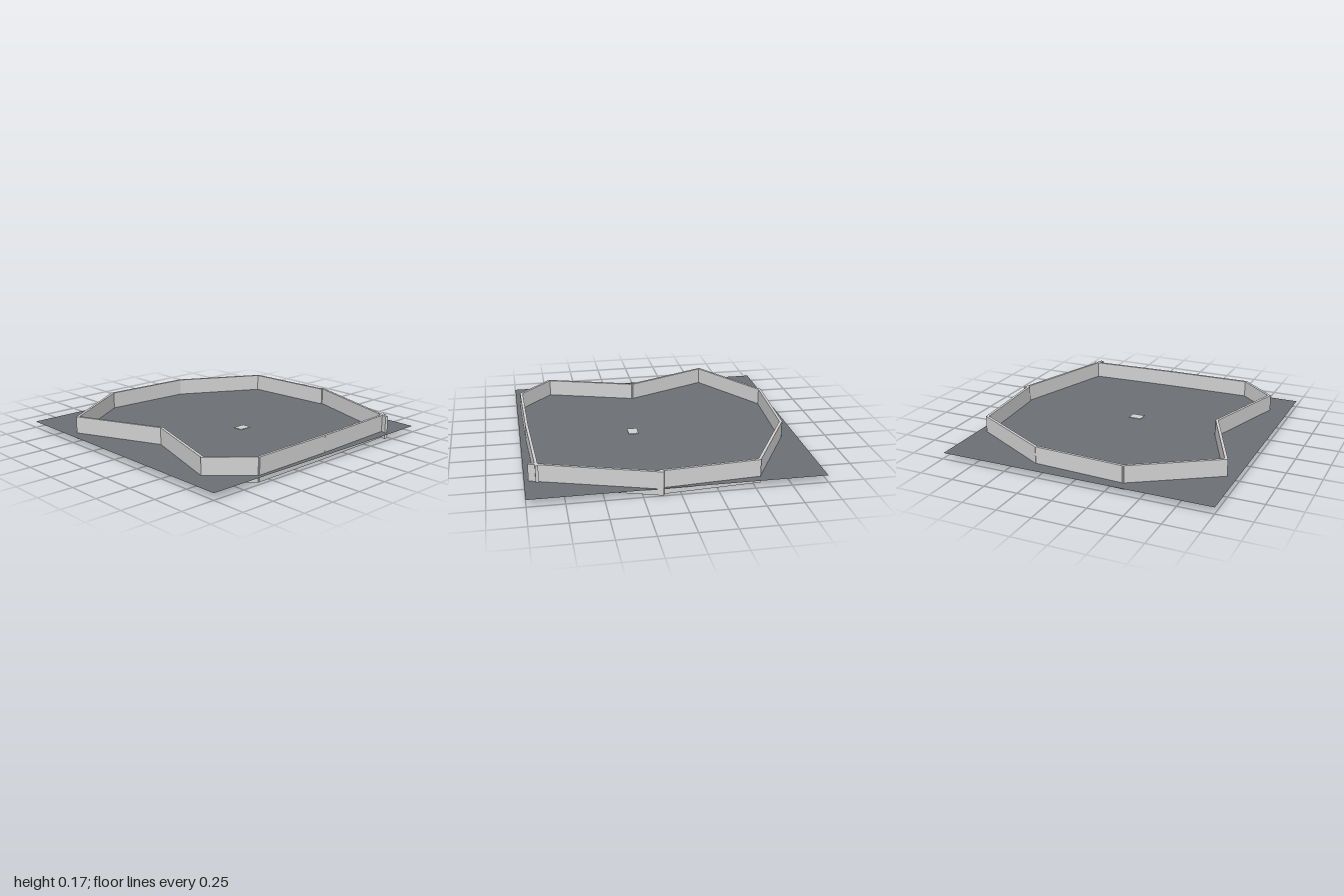
import * as THREE from 'three';

export function createModel() {
  const model = new THREE.Group();
  model.name = 'walledYard';

  const wallGrey = new THREE.MeshStandardMaterial({ color: 0xd0d0d0 });
  wallGrey.name = 'light grey';
  const groundGrey = new THREE.MeshStandardMaterial({ color: 0x6c6f73, side: THREE.DoubleSide });
  groundGrey.name = 'slate grey';

  const WALL_HEIGHT = 0.168;
  const WALL_THICKNESS = 0.02;
  const GROUND_Y = 0.046;

  // Flat ground sheet that cuts through the walls
  const ground = new THREE.Mesh(new THREE.PlaneGeometry(1.99, 2).rotateX(-Math.PI / 2), groundGrey);
  ground.name = 'ground';
  ground.position.set(-0.005, GROUND_Y, 0);
  model.add(ground);

  // Straight wall between two [x, z] points, running slightly past both ends
  function addWall(parent, [x1, z1], [x2, z2], overlap = 0.008) {
    const length = Math.hypot(x2 - x1, z2 - z1) + overlap * 2;
    const wall = new THREE.Mesh(new THREE.BoxGeometry(length, WALL_HEIGHT, WALL_THICKNESS), wallGrey);
    wall.name = 'wall' + (parent.children.length + 1);
    wall.position.set((x1 + x2) / 2, WALL_HEIGHT / 2, (z1 + z2) / 2);
    wall.rotation.y = -Math.atan2(z2 - z1, x2 - x1);
    parent.add(wall);
  }

  // Perimeter: one continuous run, closed by a wall crossing both its ends
  const perimeter = new THREE.Group();
  perimeter.name = 'perimeterWalls';
  const run = [
    [0.75, 0.914], [0.06, 0.947], [-0.585, 0.96], [-0.846, 0.722], [-0.642, 0.07],
    [-0.918, -0.547], [-0.345, -0.912], [0.32, -0.876], [0.914, -0.543], [0.965, 0.13],
  ];
  for (let i = 0; i < run.length - 1; i++) addWall(perimeter, run[i], run[i + 1]);
  addWall(perimeter, [0.987, 0.112], [0.714, 0.968], 0);
  model.add(perimeter);

  // Small plate lying on the ground
  const plate = new THREE.Mesh(new THREE.BoxGeometry(0.095, 0.004, 0.073), wallGrey);
  plate.name = 'groundPlate';
  plate.position.set(0.036, GROUND_Y + 0.0025, 0.17);
  model.add(plate);

  return model;
}
